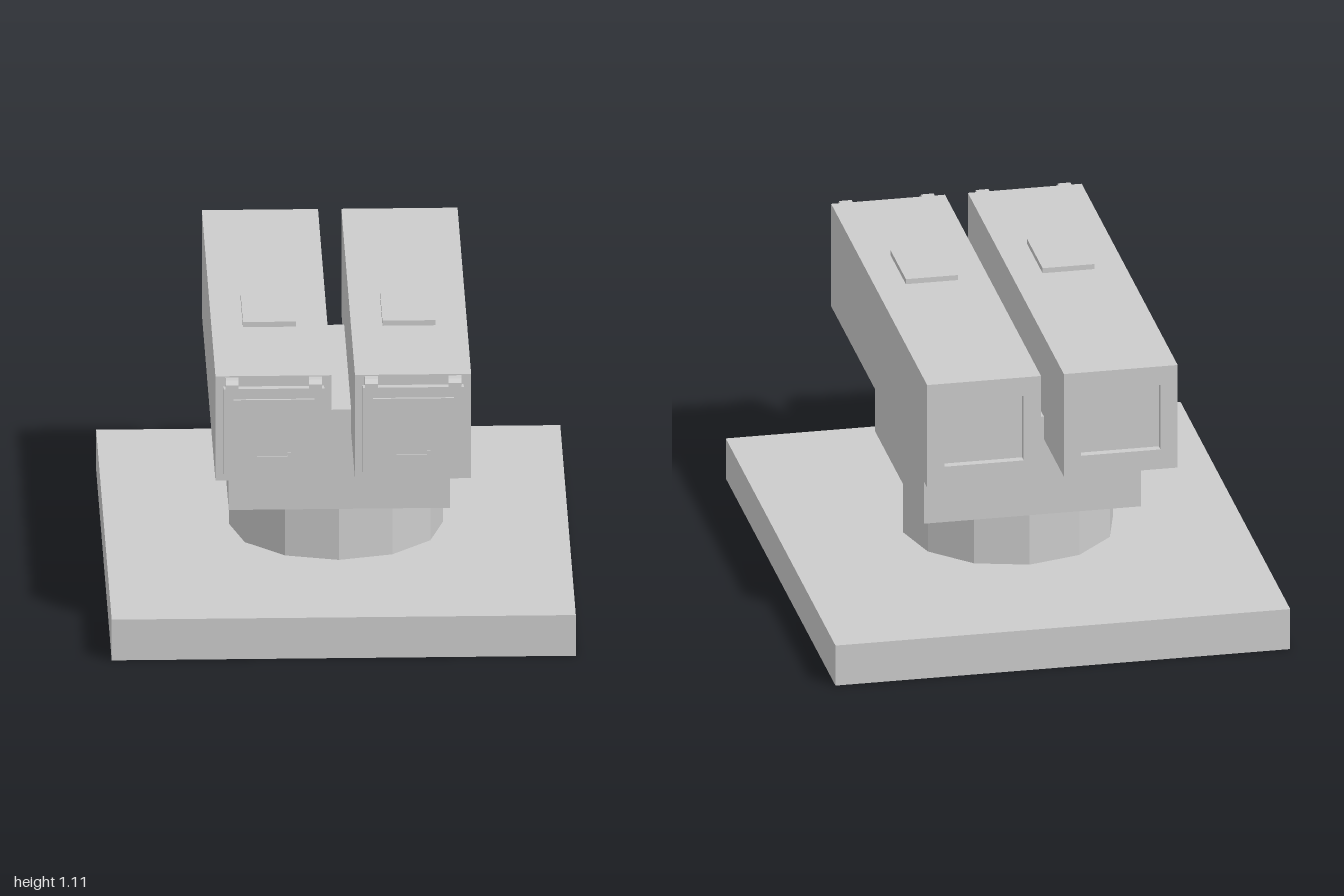
import * as THREE from 'three';

export function createModel() {
  const model = new THREE.Group();
  const grey = new THREE.MeshStandardMaterial({ color: 0xcccccc });
  grey.name = 'light grey';

  const add = (parent, name, geometry) => {
    const mesh = new THREE.Mesh(geometry, grey);
    mesh.name = name;
    parent.add(mesh);
    return mesh;
  };
  // Box given by its lower and upper limits on each axis
  const box = (parent, name, x0, x1, y0, y1, z0, z1) => {
    const mesh = add(parent, name, new THREE.BoxGeometry(x1 - x0, y1 - y0, z1 - z0));
    mesh.position.set((x0 + x1) / 2, (y0 + y1) / 2, (z0 + z1) / 2);
    return mesh;
  };
  const trace = (path, points) => {
    points.forEach(([x, y], i) => (i ? path.lineTo(x, y) : path.moveTo(x, y)));
    path.closePath();
    return path;
  };

  // Base slab, twelve-sided swivel and turret block
  box(model, 'base', -0.855, 0.855, 0, 0.16, -1, 1);
  const pedestal = new THREE.CylinderGeometry(0.395, 0.395, 0.21, 12).toNonIndexed();
  pedestal.computeVertexNormals();
  add(model, 'swivel', pedestal).position.y = 0.265;
  box(model, 'turretBlock', -0.408, 0.408, 0.38, 0.77, -0.447, 0.447);

  // Tube outline with the rear opening
  const outline = trace(new THREE.Shape(), [[-0.214, 0.68], [0.214, 0.68], [0.214, 1.09], [-0.214, 1.09]]);
  outline.holes.push(trace(new THREE.Path(), [[-0.149, 0.758], [-0.149, 1.015], [0.149, 1.015], [0.149, 0.758]]));
  const tubeGeometry = new THREE.ExtrudeGeometry(outline, { depth: 1.75, bevelEnabled: false });

  // Hinge side profile (z, y), rounded at the upper front
  const hingeShape = new THREE.Shape();
  hingeShape.moveTo(0.94, 1.045);
  hingeShape.lineTo(0.957, 1.04);
  hingeShape.lineTo(0.983, 1.05);
  hingeShape.lineTo(0.983, 1.07);
  hingeShape.lineTo(0.972, 1.085);
  hingeShape.lineTo(0.94, 1.085);
  hingeShape.closePath();
  const hingeGeometry = new THREE.ExtrudeGeometry(hingeShape, { depth: 0.048, bevelEnabled: false });
  hingeGeometry.translate(0, 0, -0.024).rotateY(-Math.PI / 2).scale(1, 1, 1);

  for (const [side, x] of [['left', 0.257], ['right', -0.257]]) {
    const launcher = new THREE.Group();
    launcher.name = side + 'Launcher';
    launcher.position.x = x;
    model.add(launcher);

    add(launcher, 'tube', tubeGeometry).position.z = -0.81;
    box(launcher, 'tubeCore', -0.149, 0.149, 0.758, 1.015, -0.78, 0.94);
    box(launcher, 'topPad', -0.098, 0.098, 1.09, 1.11, 0.14, 0.425);

    // Front door with raised panel, pull handle and two hinges
    box(launcher, 'door', -0.186, 0.186, 0.716, 1.055, 0.955, 0.983);
    box(launcher, 'doorPanel', -0.149, 0.149, 0.758, 1.015, 0.983, 0.993);
    box(launcher, 'handle', -0.062, 0.062, 0.785, 0.795, 0.993, 0.999);
    box(launcher, 'handleEnd', 0.05, 0.062, 0.795, 0.81, 0.993, 0.999);
    for (const s of [-1, 1]) {
      add(launcher, 'hinge', hingeGeometry).position.x = s * 0.154;
    }
  }
  return model;
}
